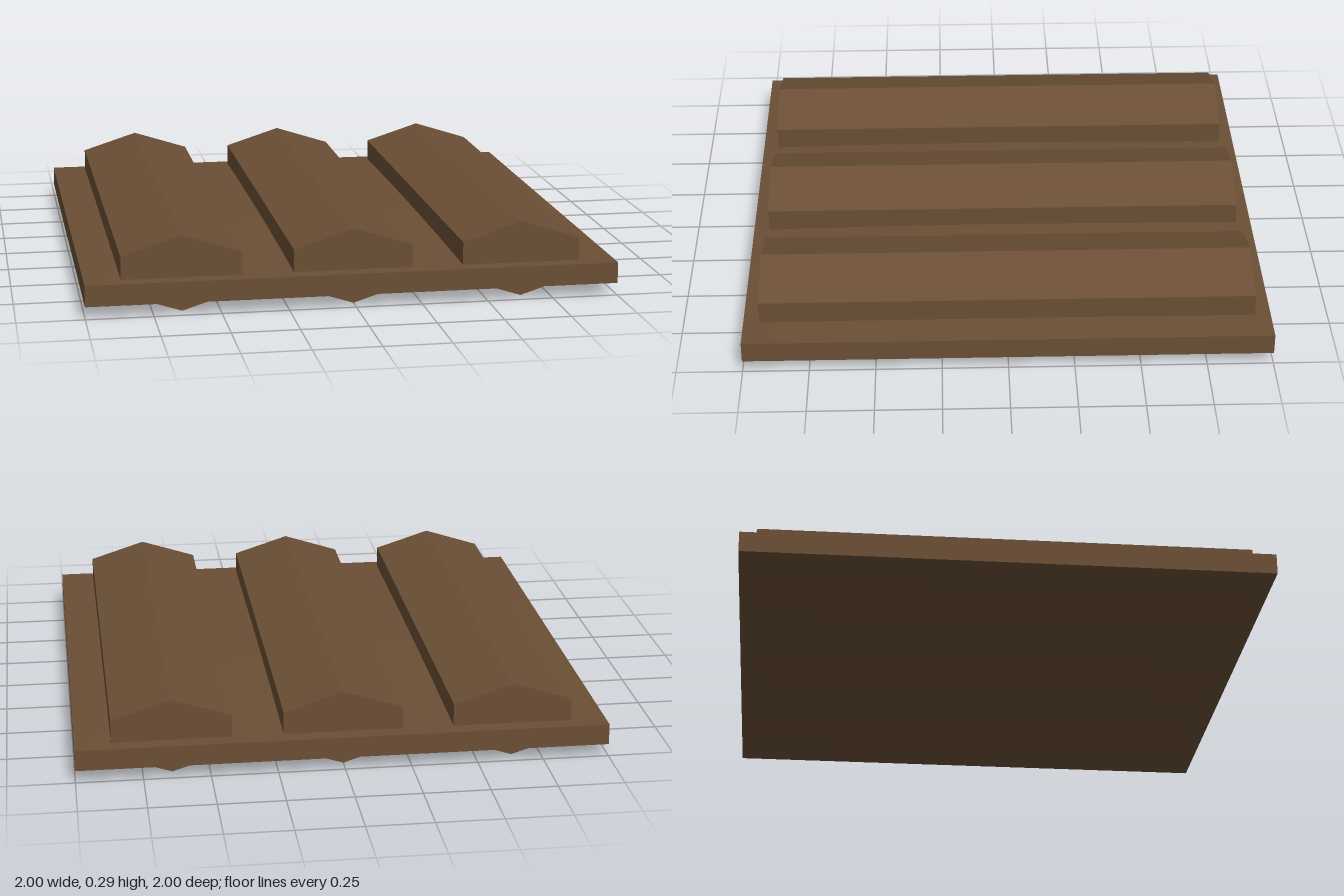
import * as THREE from 'three';

export function createModel() {
  const group = new THREE.Group();
  const wood = new THREE.MeshStandardMaterial({ color: 0x6b4f35 });
  wood.name = 'brown wood';

  // Square base slab whose top swells very slightly toward the middle
  const slabGeo = new THREE.BoxGeometry(2, 0.08, 2, 20, 1, 20);
  const pos = slabGeo.attributes.position;
  for (let i = 0; i < pos.count; i++) {
    if (pos.getY(i) < 0) continue;
    const x = pos.getX(i), z = pos.getZ(i);
    pos.setY(i, 0.04 + 0.012 * (1 - x * x) * (1 - z * z));
  }
  slabGeo.computeVertexNormals();
  const slab = new THREE.Mesh(slabGeo, wood);
  slab.name = 'baseSlab';
  slab.position.y = 0.087;
  group.add(slab);

  // Three flattened hexagonal beams set through the slab, ridge up
  const beamGeo = new THREE.CylinderGeometry(1, 1, 1.88, 6).toNonIndexed();
  beamGeo.rotateX(Math.PI / 2);
  beamGeo.scale(0.224 / Math.cos(Math.PI / 6), 0.143, 1);
  beamGeo.computeVertexNormals();
  ['rightBeam', 'middleBeam', 'leftBeam'].forEach((name, i) => {
    const beam = new THREE.Mesh(beamGeo, wood);
    beam.name = name;
    beam.position.set((i - 1) * 0.64, 0.143, 0);
    group.add(beam);
  });

  return group;
}
